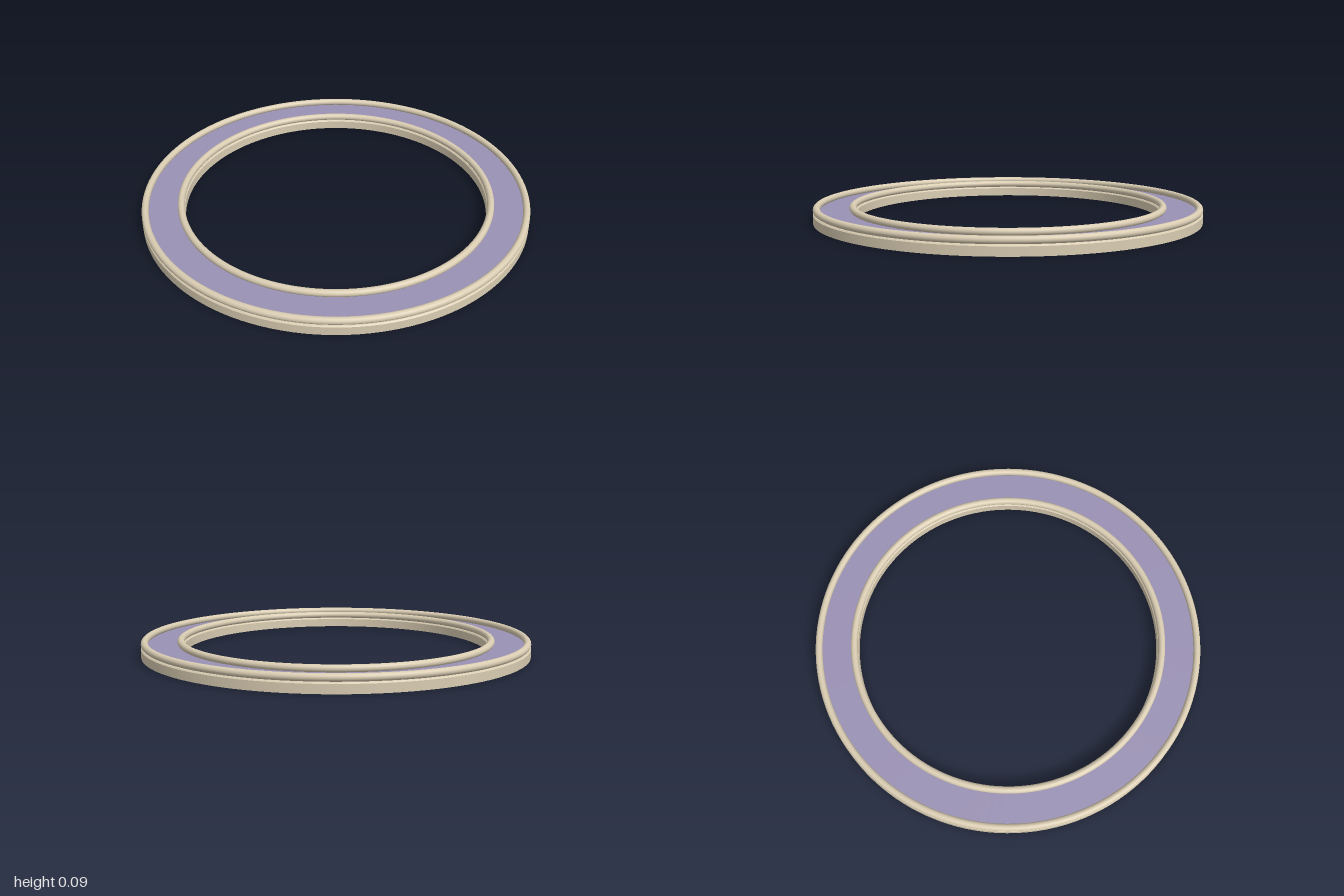
import * as THREE from 'three';
import { toCreasedNormals } from 'three/addons/utils/BufferGeometryUtils.js';

const OUTER = 1, INNER = 0.782, BASE_TOP = 0.05, TUBE = 0.018, SEGMENTS = 128;

export function createModel() {
  const model = new THREE.Group();
  const frame = new THREE.MeshStandardMaterial({ color: 0xd9ccb2 });
  const inlay = new THREE.MeshStandardMaterial({ color: 0x9a91b4 });

  const add = (name, geometry, material, y = 0) => {
    const mesh = new THREE.Mesh(geometry, material);
    mesh.name = name;
    mesh.position.y = y;
    model.add(mesh);
  };

  // Flat base ring with softened upper edges, profile runs counter-clockwise
  const bevel = 0.006;
  const profile = [
    [INNER, 0], [OUTER, 0], [OUTER, BASE_TOP - bevel], [OUTER - bevel, BASE_TOP],
    [INNER + bevel, BASE_TOP], [INNER, BASE_TOP - bevel], [INNER, 0],
  ].map(([r, y]) => new THREE.Vector2(r, y));
  add('baseRing', toCreasedNormals(new THREE.LatheGeometry(profile, SEGMENTS), 0.5), frame);

  // Coloured inlay between the two rims
  const panel = new THREE.RingGeometry(INNER + TUBE, OUTER - TUBE, SEGMENTS).rotateX(-Math.PI / 2);
  add('inlayPanel', panel, inlay, BASE_TOP + 0.003);

  // Round rims along both edges
  for (const [name, radius] of [['outerRim', OUTER - TUBE], ['innerRim', INNER + TUBE]]) {
    const rim = new THREE.TorusGeometry(radius, TUBE, 20, SEGMENTS).rotateX(-Math.PI / 2);
    add(name, rim, frame, BASE_TOP + TUBE);
  }

  return model;
}
